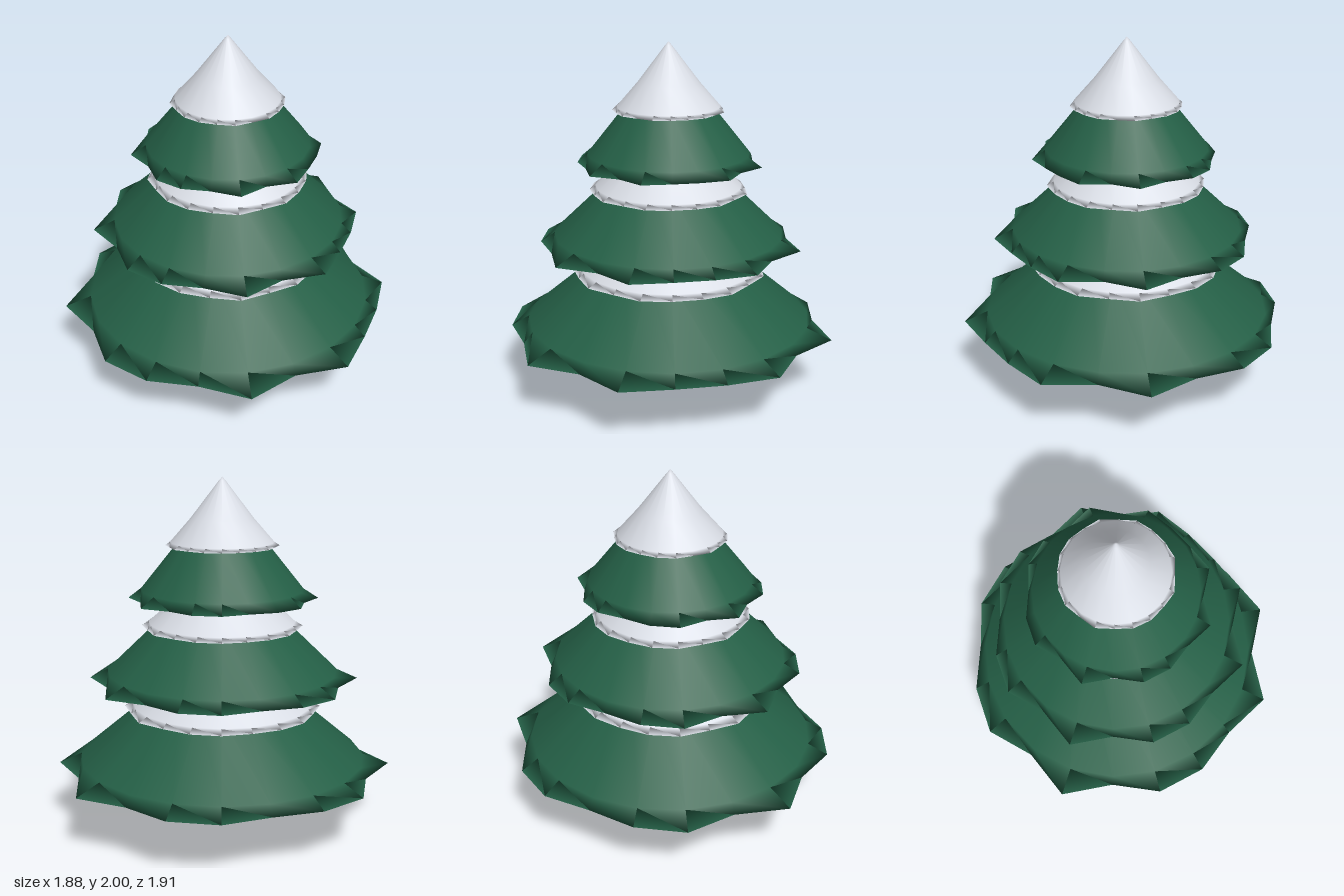
import * as THREE from 'three';

const SEGMENTS = 20;

// Rim radii of the widest branch tier, starting at the back and turning towards +x
const JAGGED = [0.97, 0.852, 0.955, 0.896, 0.89, 0.96, 0.854, 0.973, 0.877, 0.927,
  0.94, 0.862, 0.977, 0.856, 0.945, 0.915, 0.863, 0.924, 0.923, 0.859];

// Closed smooth cone from rings listed top to bottom, each { y, r(i) }
function ringCone(topY, rings, bottomY) {
  const positions = [0, topY, 0];
  const index = [];
  for (const { y, r } of rings) {
    for (let i = 0; i < SEGMENTS; i++) {
      const a = (i / SEGMENTS) * Math.PI * 2;
      positions.push(Math.sin(a) * r(i), y, -Math.cos(a) * r(i));
    }
  }
  const last = positions.length / 3;
  positions.push(0, bottomY, 0);
  const at = (ring, i) => 1 + ring * SEGMENTS + (i % SEGMENTS);
  for (let i = 0; i < SEGMENTS; i++) {
    index.push(0, at(0, i + 1), at(0, i));
    for (let k = 0; k < rings.length - 1; k++) {
      index.push(at(k, i), at(k, i + 1), at(k + 1, i));
      index.push(at(k, i + 1), at(k + 1, i + 1), at(k + 1, i));
    }
    const rim = rings.length - 1;
    index.push(at(rim, i), at(rim, i + 1), last);
  }
  const geometry = new THREE.BufferGeometry();
  geometry.setAttribute('position', new THREE.Float32BufferAttribute(positions, 3));
  geometry.setIndex(index);
  geometry.computeVertexNormals();
  return geometry;
}

export function createModel() {
  const tree = new THREE.Group();
  tree.name = 'snowyTree';

  const green = new THREE.MeshStandardMaterial({ color: 0x245f46 });
  green.name = 'needleGreen';
  const white = new THREE.MeshStandardMaterial({ color: 0xd9dde5 });
  white.name = 'snowWhite';
  const brown = new THREE.MeshStandardMaterial({ color: 0x6b452a, flatShading: true });
  brown.name = 'barkBrown';

  const add = (name, geometry, material) => {
    const mesh = new THREE.Mesh(geometry, material);
    mesh.name = name;
    tree.add(mesh);
  };

  // Trunk with a slightly bevelled foot
  const trunkProfile = [[0, 0], [0.085, 0], [0.095, 0.012], [0.095, 0.4], [0, 0.4]]
    .map(([x, y]) => new THREE.Vector2(x, y));
  add('trunk', new THREE.LatheGeometry(trunkProfile, 12), brown);

  // Branch tiers: jagged rim below a round cone, shallow point underneath
  const tiers = [
    { name: 'lower', s: 1, rim: 0.33, kink: 0.39, bottom: 0.28, top: 1.09 },
    { name: 'middle', s: 0.797, rim: 0.85, kink: 0.905, bottom: 0.815, top: 1.54 },
    { name: 'upper', s: 0.557, rim: 1.32, kink: 1.375, bottom: 1.29, top: 1.95 },
  ];
  for (const t of tiers) {
    const core = 0.825 * t.s;
    const mid = (t.kink + t.top) / 2;
    add(t.name + 'Branches', ringCone(t.top, [
      { y: mid, r: () => core / 2 },
      { y: t.kink, r: () => core },
      { y: t.rim, r: (i) => JAGGED[i] * t.s },
    ], t.bottom), green);
  }

  // Snow caps with a thin, slightly uneven lip
  const caps = [
    { name: 'lower', r: 0.553, y: 0.68, h: 0.475 },
    { name: 'middle', r: 0.448, y: 1.16, h: 0.435 },
    { name: 'top', r: 0.313, y: 1.62, h: 0.38 },
  ];
  for (const c of caps) {
    const wobble = (i) => 1 + (JAGGED[i] - 0.91) * 0.4;
    add(c.name + 'Snow', ringCone(c.y + c.h, [
      { y: c.y + c.h * 0.95, r: () => c.r * 0.055 },
      { y: c.y + c.h * 0.4, r: () => c.r * 0.565 },
      { y: c.y + c.h * 0.055, r: () => c.r * 0.93 },
      { y: c.y, r: (i) => c.r * wobble(i) },
    ], c.y), white);
  }

  // Trunk axis sits slightly off the centre of the uneven branches
  tree.children.forEach((mesh) => mesh.position.set(-0.025, 0, 0.013));
  return tree;
}
